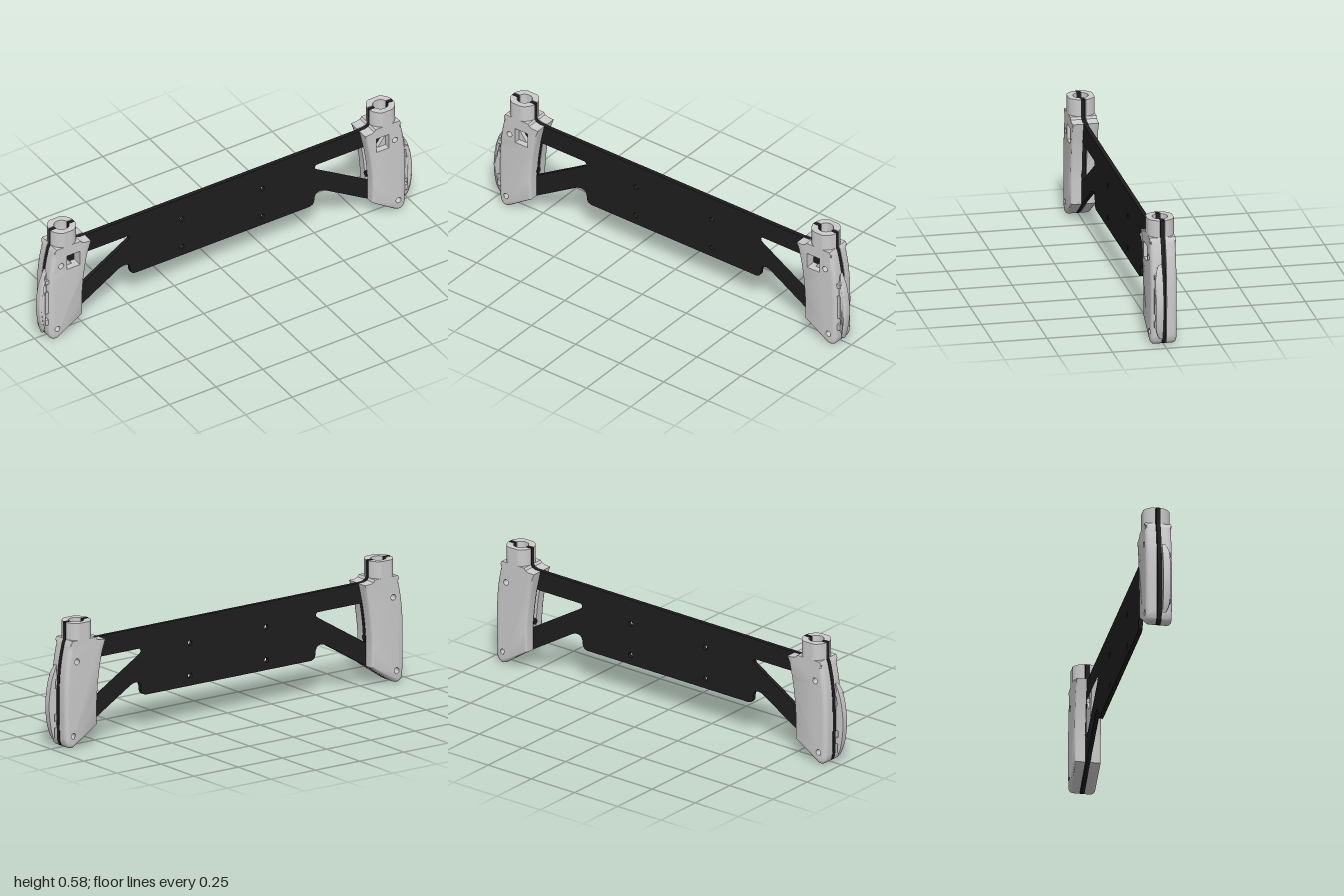
import * as THREE from 'three';
import { toCreasedNormals } from 'three/addons/utils/BufferGeometryUtils.js';

const grey = new THREE.MeshStandardMaterial({ color: 0xcccccc });
const black = new THREE.MeshStandardMaterial({ color: 0x1e1e1e });
const V = (p) => new THREE.Vector2(p[0], p[1]);
const spline = (pts, n) => new THREE.SplineCurve(pts.map(V)).getPoints(n).map((p) => [p.x, p.y]);
const flip = (pts, s) => pts.map(([x, y]) => [x * s, y]);

const SEAM_FRONT = 0.012, SEAM_BACK = -0.01, HALF = 0.0495;
const TUBE_X = 0.855, TUBE_TOP = 0.585, BORE = 0.035;
const SCREWS = [[0.895, 0.406], [0.914, 0.058]];

// Grip outline (left hand side), split so the plate can share it
const gripTop = [[0.735, 0.487], [0.765, 0.488], [0.783, 0.494], [0.79, 0.505]];
const gripOuter = [
  [0.92, 0.505],
  ...spline([[0.928, 0.49], [0.945, 0.41], [0.955, 0.32], [0.958, 0.2], [0.955, 0.045]], 16),
  ...spline([[0.953, 0.03], [0.946, 0.013], [0.933, 0.003], [0.917, 0], [0.903, 0.005]], 8),
  [0.778, 0.09],
];
const gripInner = spline([[0.778, 0.2], [0.771, 0.29], [0.758, 0.38], [0.742, 0.455]], 10);

function mesh(geo, mat, name, parent) {
  const m = new THREE.Mesh(geo, mat);
  m.name = name;
  parent.add(m);
  return m;
}

function circle(x, y, r) {
  const p = new THREE.Path();
  p.absarc(x, y, r, 0, Math.PI * 2, false);
  return p;
}

function extrude(pts, holes, depth) {
  const shape = new THREE.Shape(pts.map(V));
  shape.holes = holes;
  return new THREE.ExtrudeGeometry(shape, { depth, bevelEnabled: false, curveSegments: 10 });
}

// Extrusion with a rounded front rim only; weight() scales the inset at each point
function roundedSlab(pts, holes, depth, b, weight) {
  let ring = pts.map(V);
  if (THREE.ShapeUtils.isClockWise(ring)) ring.reverse();
  const N = ring.length;
  const inward = ring.map((p, i) => {
    const e1 = p.clone().sub(ring[(i + N - 1) % N]).normalize();
    const e2 = ring[(i + 1) % N].clone().sub(p).normalize();
    const n = new THREE.Vector2(-e1.y - e2.y, e1.x + e2.x);
    return n.multiplyScalar(weight(Math.abs(p.x), p.y) / Math.max(0.4, 1 + e1.dot(e2)));
  });
  const shape = new THREE.Shape(ring);
  shape.holes = holes;
  const STEPS = 5;
  const geo = new THREE.ExtrudeGeometry(shape, { depth: 1, steps: STEPS, bevelEnabled: false, curveSegments: 10 });
  const pos = geo.attributes.position;
  for (let i = 0; i < pos.count; i++) {
    const k = Math.round(pos.getZ(i) * STEPS);
    const a = Math.max(0, k - 1) / (STEPS - 1) * Math.PI / 2;
    const x = pos.getX(i), y = pos.getY(i);
    const j = ring.findIndex((p) => Math.hypot(p.x - x, p.y - y) < 1e-4);
    const inset = j < 0 ? 0 : b * (1 - Math.cos(a));
    const n = j < 0 ? new THREE.Vector2() : inward[j];
    pos.setXYZ(i, x + n.x * inset, y + n.y * inset, k === 0 ? 0 : depth - b + b * Math.sin(a));
  }
  geo.deleteAttribute('uv');
  return geo;
}

// One half of a grip, seam at z = 0, facing +z
function gripHalf(s, pocket) {
  const holes = SCREWS.map(([x, y]) => circle(x * s, y, 0.014));
  if (pocket) {
    holes.push(new THREE.Path(flip([[0.794, 0.375], [0.863, 0.375], [0.863, 0.45], [0.794, 0.45]], s).map(V)));
  }
  const weight = (x, y) => (y > 0.48 ? 0 : x < 0.8 ? 0.4 : 1);
  const outline = flip([...gripTop, ...gripOuter, ...gripInner], s);
  return toCreasedNormals(roundedSlab(outline, holes, HALF, 0.02, weight), 0.6);
}

// Half of the round neck above the grip, with an open bore
function neckHalf(seam) {
  const z0 = Math.abs(seam), zMax = z0 + HALF, pts = [];
  const arc = (r, dir) => {
    const a0 = Math.asin(z0 / r);
    for (let i = 0; i <= 20; i++) {
      const t = dir > 0 ? i / 20 : 1 - i / 20;
      const a = a0 + t * (Math.PI - 2 * a0);
      pts.push([r * Math.cos(a), -Math.min(r * Math.sin(a), zMax)]);
    }
  };
  arc(0.066, 1);
  arc(BORE, -1);
  const geo = extrude(pts, [], TUBE_TOP - 0.5).rotateX(-Math.PI / 2);
  if (seam < 0) geo.rotateY(Math.PI);
  return toCreasedNormals(geo.translate(0, 0.5, 0), 0.6);
}

// Curved lever on the outer side of a grip
function leverGeometry(s) {
  const outer = spline([[0.957, 0.388], [0.983, 0.32], [0.997, 0.24], [0.999, 0.17], [0.988, 0.09], [0.974, 0.038]], 24);
  const inner = spline([[0.968, 0.05], [0.97, 0.15], [0.967, 0.25], [0.956, 0.375]], 12);
  const geo = roundedSlab(flip([...outer, ...inner], s), [], 0.035, 0.01, (x) => (x > 0.975 ? 0.8 : 0.1));
  const pos = geo.attributes.position;
  for (let i = 0; i < pos.count; i++) {
    const t = Math.min(1, Math.abs(pos.getY(i) - 0.213) / 0.175);
    pos.setZ(i, pos.getZ(i) * (1 - 0.6 * t ** 6));
  }
  return toCreasedNormals(geo.translate(0, 0, SEAM_FRONT), 0.7);
}

// Thin plate running through both grips
function plateGeometry() {
  const half = [
    ...gripTop,
    [0.79, TUBE_TOP], [TUBE_X - BORE, TUBE_TOP], [TUBE_X - BORE, 0.506],
    [TUBE_X + BORE, 0.506], [TUBE_X + BORE, TUBE_TOP], [0.92, TUBE_TOP],
    ...gripOuter,
    [0.56, 0.222], ...spline([[0.55, 0.228], [0.525, 0.235], [0.503, 0.228], [0.494, 0.208], [0.493, 0.192], [0.486, 0.175], [0.468, 0.167]], 14),
  ];
  const holes = [];
  for (const s of [1, -1]) {
    const window = [[0.757, 0.39], ...gripInner.filter((p) => p[1] < 0.38).reverse(), [0.778, 0.2],
      [0.51, 0.362], [0.499, 0.37], [0.496, 0.38], [0.502, 0.39]];
    holes.push(new THREE.Path(flip(window, s).map(V)));
    for (const y of [0.214, 0.369]) holes.push(circle(0.216 * s, y, 0.012));
    for (const [x, y] of SCREWS) holes.push(circle(x * s, y, 0.014));
  }
  const geo = extrude([...half, ...flip(half, -1).reverse()], holes, 0.019);
  return toCreasedNormals(geo.translate(0, 0, -0.007), 0.6);
}

export function createModel() {
  const model = new THREE.Group();
  model.name = 'twinGripFrame';
  mesh(plateGeometry(), black, 'centrePlate', model);

  for (const s of [1, -1]) {
    const grip = new THREE.Group();
    grip.name = s > 0 ? 'leftGrip' : 'rightGrip';
    model.add(grip);

    mesh(gripHalf(s, true), grey, 'frontGripHalf', grip).position.z = SEAM_FRONT;
    mesh(gripHalf(-s, false).rotateY(Math.PI), grey, 'backGripHalf', grip).position.z = SEAM_BACK;
    for (const seam of [SEAM_FRONT, SEAM_BACK]) {
      mesh(neckHalf(seam), grey, seam > 0 ? 'frontNeck' : 'backNeck', grip).position.x = TUBE_X * s;
    }

    // Sloped corner inside the square pocket
    const wedge = extrude(flip([[0.863, 0.375], [0.863, 0.43], [0.82, 0.375]], s), [], 0.02);
    mesh(wedge, grey, 'pocketWedge', grip).position.z = SEAM_FRONT;

    // Lever and the tabs that carry it
    mesh(leverGeometry(s), grey, 'lever', grip);
    for (const [y0, y1] of [[0.09, 0.12], [0.155, 0.275], [0.32, 0.34]]) {
      const tab = mesh(new THREE.BoxGeometry(0.03, y1 - y0, 0.036), grey, 'leverTab', grip);
      tab.position.set(0.957 * s, (y0 + y1) / 2, 0.031);
    }

    // Cable outlet on the inner edge
    const outlet = mesh(new THREE.CylinderGeometry(0.014, 0.014, 0.012, 20), black, 'cableOutlet', grip);
    outlet.rotation.z = Math.PI / 2;
    outlet.position.set(0.779 * s, 0.225, 0.002);
  }
  return model;
}
